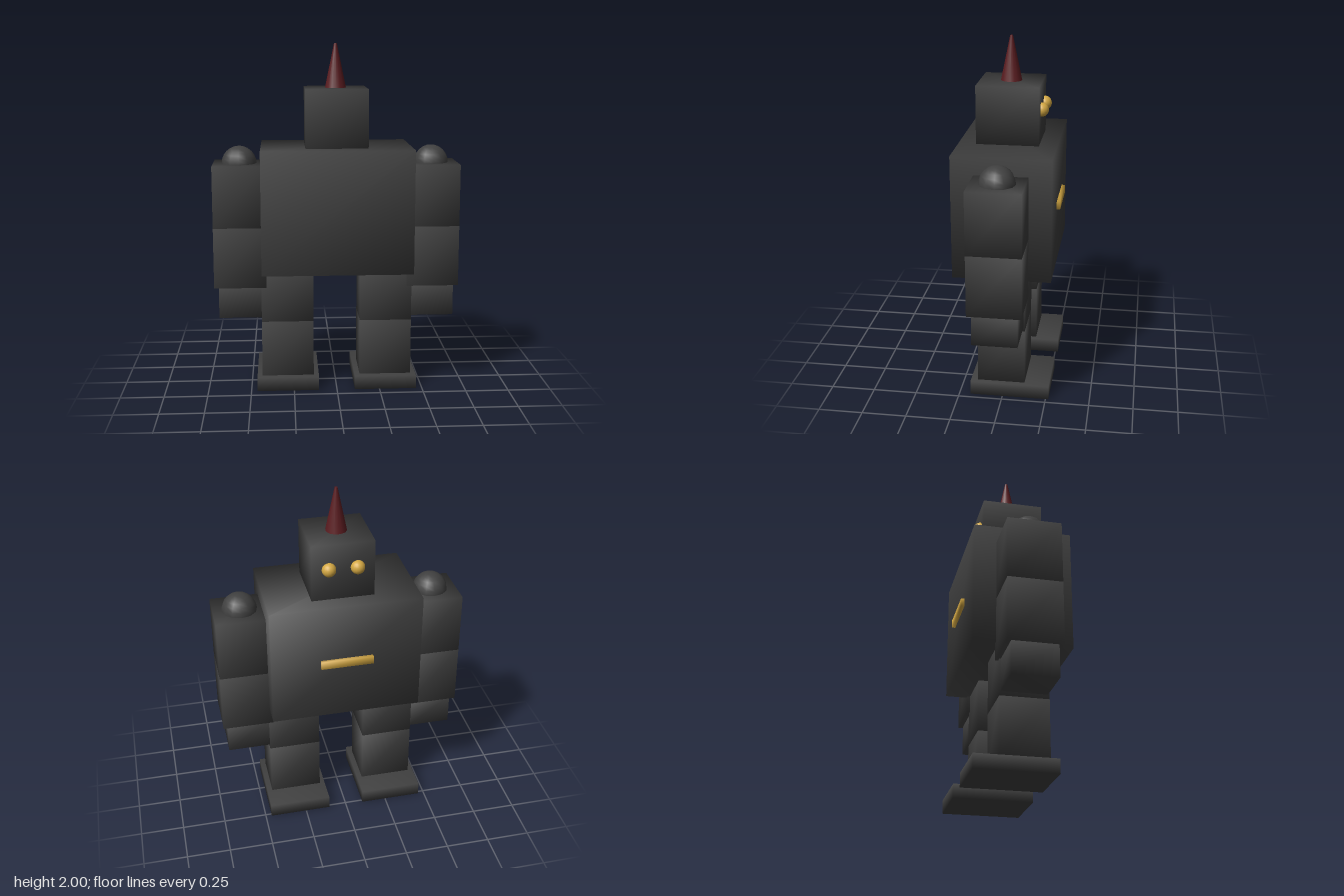
import * as THREE from 'three';
import { mergeVertices } from 'three/addons/utils/BufferGeometryUtils.js';

const colour = (name, hex) => {
  const m = new THREE.MeshStandardMaterial({ color: hex });
  m.name = name;
  return m;
};

export function createModel() {
  const robot = new THREE.Group();
  robot.name = 'robot';
  const iron = colour('darkIron', 0x404040);
  const gold = colour('gold', 0xd4a843);
  const red = colour('darkRed', 0x5a1c20);

  const add = (parent, name, geometry, material, x, y, z) => {
    const mesh = new THREE.Mesh(geometry, material);
    mesh.name = name;
    mesh.position.set(x, y, z);
    parent.add(mesh);
    return mesh;
  };

  // Box given by its bounds, with normals shared across the corners
  const block = (parent, name, material, [x0, x1], [y0, y1], [z0, z1]) => {
    let g = new THREE.BoxGeometry(x1 - x0, y1 - y0, z1 - z0);
    g.deleteAttribute('normal');
    g.deleteAttribute('uv');
    g = mergeVertices(g);
    g.computeVertexNormals();
    return add(parent, name, g, material, (x0 + x1) / 2, (y0 + y1) / 2, (z0 + z1) / 2);
  };

  // Body and head; the face looks towards -z
  block(robot, 'torso', iron, [-0.43, 0.43], [0.715, 1.42], [-0.268, 0.286]);
  block(robot, 'head', iron, [-0.177, 0.177], [1.42, 1.75], [-0.166, 0.186]);
  block(robot, 'chestBar', gold, [-0.15, 0.15], [1.045, 1.092], [-0.288, -0.26]);
  add(robot, 'headSpike', new THREE.CylinderGeometry(0.008, 0.06, 0.25, 16), red, 0, 1.875, 0.01);

  for (const side of [-1, 1]) {
    const label = side > 0 ? 'left' : 'right';
    const span = (centre, half) => [side * centre - half, side * centre + half];

    add(robot, label + 'Eye', new THREE.SphereGeometry(0.04, 16, 12), gold, side * 0.08, 1.605, -0.17);

    // Arm: ball shoulder, two segments and a fist
    const arm = new THREE.Group();
    arm.name = label + 'Arm';
    add(arm, 'shoulderBall', new THREE.SphereGeometry(0.1, 12, 12), iron, side * 0.555, 1.32, 0.008);
    block(arm, 'upperArm', iron, span(0.555, 0.15), [0.965, 1.32], [-0.142, 0.158]);
    block(arm, 'forearm', iron, span(0.555, 0.15), [0.615, 0.965], [-0.142, 0.158]);
    block(arm, 'fist', iron, span(0.555, 0.125), [0.433, 0.615], [-0.117, 0.136]);
    robot.add(arm);

    // Leg: thigh, shin and a foot that reaches forward
    const leg = new THREE.Group();
    leg.name = label + 'Leg';
    block(leg, 'thigh', iron, span(0.285, 0.15), [0.408, 0.715], [-0.125, 0.145]);
    block(leg, 'shin', iron, span(0.285, 0.15), [0.08, 0.408], [-0.125, 0.145]);
    block(leg, 'foot', iron, span(0.285, 0.18), [0, 0.08], [-0.266, 0.186]);
    robot.add(leg);
  }
  return robot;
}
